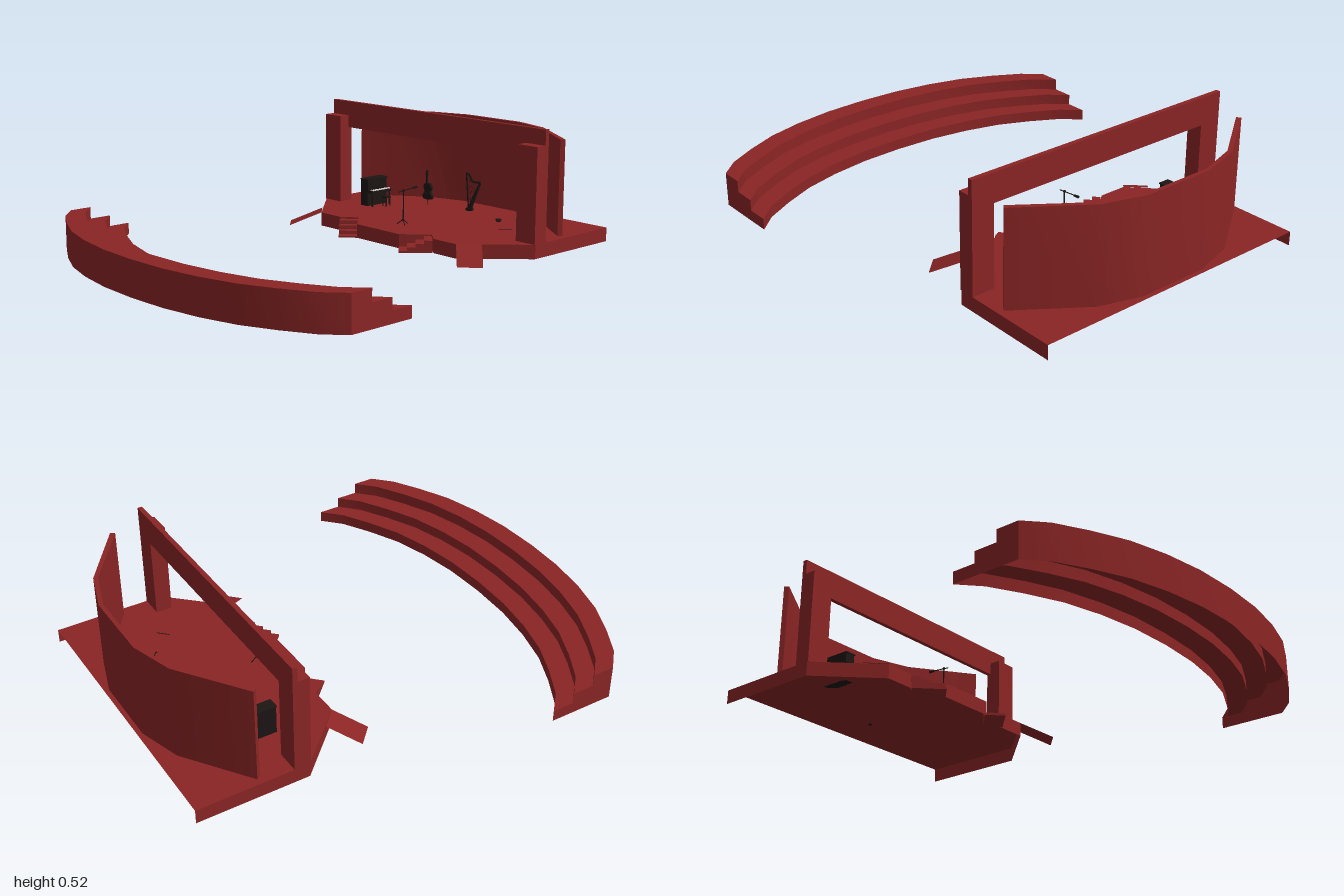
import * as THREE from 'three';
import { toCreasedNormals } from 'three/addons/utils/BufferGeometryUtils.js';

const V = (x, y, z) => new THREE.Vector3(x, y, z);
const H = 0.06; // stage height
const CX = -0.0125; // stage centre line
const mat = (color) => new THREE.MeshStandardMaterial({ color, side: THREE.DoubleSide });
const red = mat(0x8b2525), black = mat(0x1c1614), white = mat(0xe8e4dc);

function add(parent, name, geo, material = red) {
  const m = new THREE.Mesh(geo, material);
  m.name = name;
  parent.add(m);
  return m;
}

function box(parent, name, x0, x1, y0, y1, z0, z1, material = red) {
  const m = add(parent, name, new THREE.BoxGeometry(x1 - x0, y1 - y0, z1 - z0), material);
  m.position.set((x0 + x1) / 2, (y0 + y1) / 2, (z0 + z1) / 2);
  return m;
}

// Straight rod between two points
function rod(parent, name, a, b, r = 0.003, r2 = r) {
  const m = add(parent, name, new THREE.CylinderGeometry(r2, r, a.distanceTo(b), 8), black);
  m.position.copy(a).lerp(b, 0.5);
  m.quaternion.setFromUnitVectors(V(0, 1, 0), b.clone().sub(a).normalize());
  return m;
}

// Sheet through rows of points
function sheet(rows, crease = 0.3) {
  const p = [];
  for (let i = 0; i + 1 < rows.length; i++) {
    for (let j = 0; j + 1 < rows[i].length; j++) {
      const [a, b, c, d] = [rows[i][j], rows[i + 1][j], rows[i + 1][j + 1], rows[i][j + 1]];
      for (const v of [a, b, c, a, c, d]) p.push(v.x, v.y, v.z);
    }
  }
  const g = new THREE.BufferGeometry();
  g.setAttribute('position', new THREE.Float32BufferAttribute(p, 3));
  return toCreasedNormals(g, crease);
}

const shapeOf = (pts) => new THREE.Shape(pts.map(([x, y]) => new THREE.Vector2(x, y)));
const extrude = (shape, depth) => new THREE.ExtrudeGeometry(shape, { depth, bevelEnabled: false, curveSegments: 10 });

function buildStage() {
  const g = new THREE.Group();
  g.name = 'stage';
  g.position.x = CX;

  // Floor and skirt, open at the back and below
  const half = [[0.632, -1], [0.632, -0.53], [0.41, -0.3], [0.285, -0.3], [0.222, -0.352], [0.128, -0.255]];
  const outline = [...half, ...half.slice().reverse().map(([x, z]) => [-x, z])];
  const floor = add(g, 'stageFloor', new THREE.ShapeGeometry(shapeOf(outline.map(([x, z]) => [x, -z]))));
  floor.rotation.x = -Math.PI / 2;
  floor.position.y = H;
  add(g, 'stageSkirt', sheet([0, H].map((y) => outline.map(([x, z]) => V(x, y, z)))));

  // Curved back wall
  const wall = [[0.605, -0.735], [0.335, -0.925], [0.155, -0.98], [-0.155, -0.98], [-0.335, -0.925], [-0.605, -0.735]];
  const inner = wall.map(([x, z]) => [x * 0.98, z + 0.017]).reverse();
  const wallGeo = extrude(shapeOf([...wall, ...inner].map(([x, z]) => [x, -z])), 0.465 - H);
  wallGeo.rotateX(-Math.PI / 2);
  add(g, 'backWall', toCreasedNormals(wallGeo, 0.7)).position.y = H;

  // Portal frame with its wide opening
  const frame = shapeOf([[-0.632, H], [-0.532, H], [-0.532, 0.405], [0.532, 0.405],
    [0.532, H], [0.632, H], [0.632, 0.525], [-0.632, 0.525]]);
  add(g, 'portalFrame', extrude(frame, 0.02)).position.z = -0.595;

  for (const s of [-1, 1]) {
    // Columns
    const c = box(g, 'column', -0.05, 0.05, H, 0.46, -0.576, -0.525);
    c.position.x = s * 0.582;
    // Outer ramps
    add(g, 'ramp', sheet([
      [V(s * 0.41, H, -0.3), V(s * 0.485, H, -0.372)],
      [V(s * 0.51, 0, -0.198), V(s * 0.585, 0, -0.27)],
    ]));
    // Inner stairs, descending towards the middle
    const n = 4, run = 0.14, pts = [[0, 0]];
    for (let i = 0; i < n; i++) {
      const y = H * (1 - (i + 0.5) / n);
      pts.push([run * i / n, y], [run * (i + 1) / n, y]);
    }
    pts.push([run, 0]);
    const geo = extrude(shapeOf(pts), 0.084);
    geo.translate(0, 0, -0.042);
    const st = add(g, 'stairs', geo);
    st.position.set(s * 0.2535, 0, -0.326);
    st.rotation.y = Math.atan2(-1, -s);
  }
  return g;
}

function buildSeating() {
  const g = new THREE.Group();
  g.name = 'seating';
  const half = [[0, 0.715], [0.19, 0.707], [0.365, 0.68], [0.525, 0.637], [0.665, 0.574], [0.79, 0.505], [0.87, 0.43]];
  const arc = [...half.slice(1).reverse().map(([x, z]) => [-x, z]), ...half];
  // Three tiers: depth offset and height
  const profile = [[0, 0], [0, 0.048], [0.095, 0.048], [0.095, 0.095], [0.19, 0.095], [0.19, 0.145], [0.285, 0.145], [0.285, 0]];
  add(g, 'tiers', sheet(profile.map(([d, y]) => arc.map(([x, z]) => V(x, y, z + d)))));
  for (const s of [-1, 1]) {
    const cap = add(g, 'tierEnd', new THREE.ShapeGeometry(shapeOf(profile)));
    cap.rotation.y = -Math.PI / 2;
    cap.position.set(s * 0.87, 0, 0.43);
  }
  return g;
}

function buildPiano() {
  const g = new THREE.Group();
  g.name = 'piano';
  box(g, 'pianoBody', -0.425, -0.38, H, 0.18, -0.665, -0.545, black);
  box(g, 'pianoLid', -0.427, -0.377, 0.18, 0.185, -0.668, -0.542, black);
  box(g, 'keyBed', -0.38, -0.35, 0.12, 0.133, -0.665, -0.545, black);
  for (let i = 0; i < 14; i++) {
    const z = -0.659 + i * 0.0077;
    box(g, 'whiteKey', -0.37, -0.352, 0.133, 0.137, z, z + 0.0068, white);
    if (![2, 6, 9, 13].includes(i)) box(g, 'blackKey', -0.371, -0.361, 0.137, 0.14, z + 0.0055, z + 0.009, black);
  }
  for (const z of [-0.658, -0.552]) rod(g, 'pianoLeg', V(-0.355, H, z), V(-0.355, 0.12, z), 0.004);
  box(g, 'benchSeat', -0.338, -0.31, 0.1, 0.108, -0.626, -0.594, black);
  for (const x of [-0.334, -0.314]) for (const z of [-0.622, -0.598]) rod(g, 'benchLeg', V(x, H, z), V(x, 0.1, z), 0.002);
  return g;
}

// Bowed instrument, standing upright on y = 0, of unit body width
function buildFiddle(name) {
  const g = new THREE.Group();
  g.name = name;
  const side = [[0, 0], [0.4, 0.06], [0.5, 0.3], [0.28, 0.65], [0.4, 1], [0.25, 1.28], [0, 1.32]];
  const pts = [...side, ...side.slice(1, -1).reverse().map(([x, y]) => [-x, y])].map(([x, y]) => new THREE.Vector2(x, y));
  const shape = new THREE.Shape(new THREE.SplineCurve([...pts, pts[0]]).getPoints(40));
  add(g, 'body', extrude(shape, 0.24), black).position.z = -0.12;
  box(g, 'neck', -0.05, 0.05, 1.2, 2.25, 0.08, 0.18, black);
  box(g, 'bridge', -0.14, 0.14, 0.5, 0.55, 0.12, 0.25, black);
  for (const y of [2.02, 2.15]) box(g, 'pegs', -0.17, 0.17, y, y + 0.05, 0.1, 0.15, black);
  const scroll = add(g, 'scroll', new THREE.SphereGeometry(0.09, 10, 8), black);
  scroll.position.set(0, 2.28, 0.12);
  return g;
}

function buildHarp() {
  const g = new THREE.Group();
  g.name = 'harp';
  rod(g, 'pillar', V(-0.018, 0.01, 0), V(-0.03, 0.168, 0), 0.004);
  rod(g, 'soundBox', V(-0.012, 0.01, 0), V(0.036, 0.13, 0), 0.011, 0.005);
  const neck = new THREE.CatmullRomCurve3([V(-0.032, 0.17, 0), V(-0.018, 0.165, 0), V(0, 0.135, 0), V(0.018, 0.132, 0), V(0.036, 0.132, 0)]);
  add(g, 'neck', new THREE.TubeGeometry(neck, 20, 0.005, 8), black);
  box(g, 'foot', -0.028, 0.002, 0, 0.012, -0.012, 0.012, black);
  for (let i = 1; i < 7; i++) {
    const t = i / 7;
    rod(g, 'string', V(-0.012 + 0.048 * t, 0.01 + 0.12 * t, 0), neck.getPointAt(t), 0.0005);
  }
  g.position.set(0.006, H, -0.828);
  g.rotation.y = 0.35;
  return g;
}

function buildMicrophone() {
  const g = new THREE.Group();
  g.name = 'microphoneStand';
  rod(g, 'pole', V(0, 0.075, 0), V(0, 0.212, 0), 0.0025);
  rod(g, 'boom', V(0, 0.207, 0.025), V(0, 0.215, -0.06), 0.002);
  rod(g, 'microphone', V(0, 0.214, -0.055), V(0, 0.216, -0.08), 0.004, 0.006);
  const clamp = add(g, 'clamp', new THREE.SphereGeometry(0.006, 10, 8), black);
  clamp.position.y = 0.21;
  for (let i = 0; i < 3; i++) {
    const a = Math.PI / 6 + i * Math.PI * 2 / 3;
    rod(g, 'foot', V(0, 0.085, 0), V(0.027 * Math.cos(a), H + 0.002, 0.027 * Math.sin(a)), 0.002);
  }
  g.position.z = -0.395;
  return g;
}

export function createModel() {
  const model = new THREE.Group();
  model.name = 'openAirTheatre';
  model.add(buildStage(), buildSeating(), buildPiano(), buildHarp(), buildMicrophone());

  // Cello on its spike
  const cello = buildFiddle('cello');
  cello.scale.setScalar(0.058);
  cello.position.set(-0.22, H + 0.025, -0.775);
  rod(model, 'celloSpike', V(-0.22, H, -0.775), V(-0.22, H + 0.028, -0.775), 0.0015);

  // Violin lying on the floor
  const violin = buildFiddle('violin');
  violin.scale.setScalar(0.027);
  violin.rotation.set(-Math.PI / 2, 0, -2.4);
  violin.position.set(0.217, H + 0.004, -0.765);

  model.add(cello, violin);

  // Flute lying on the floor
  rod(model, 'flute', V(0.345, H + 0.002, -0.62), V(0.385, H + 0.002, -0.66), 0.0015);
  return model;
}
